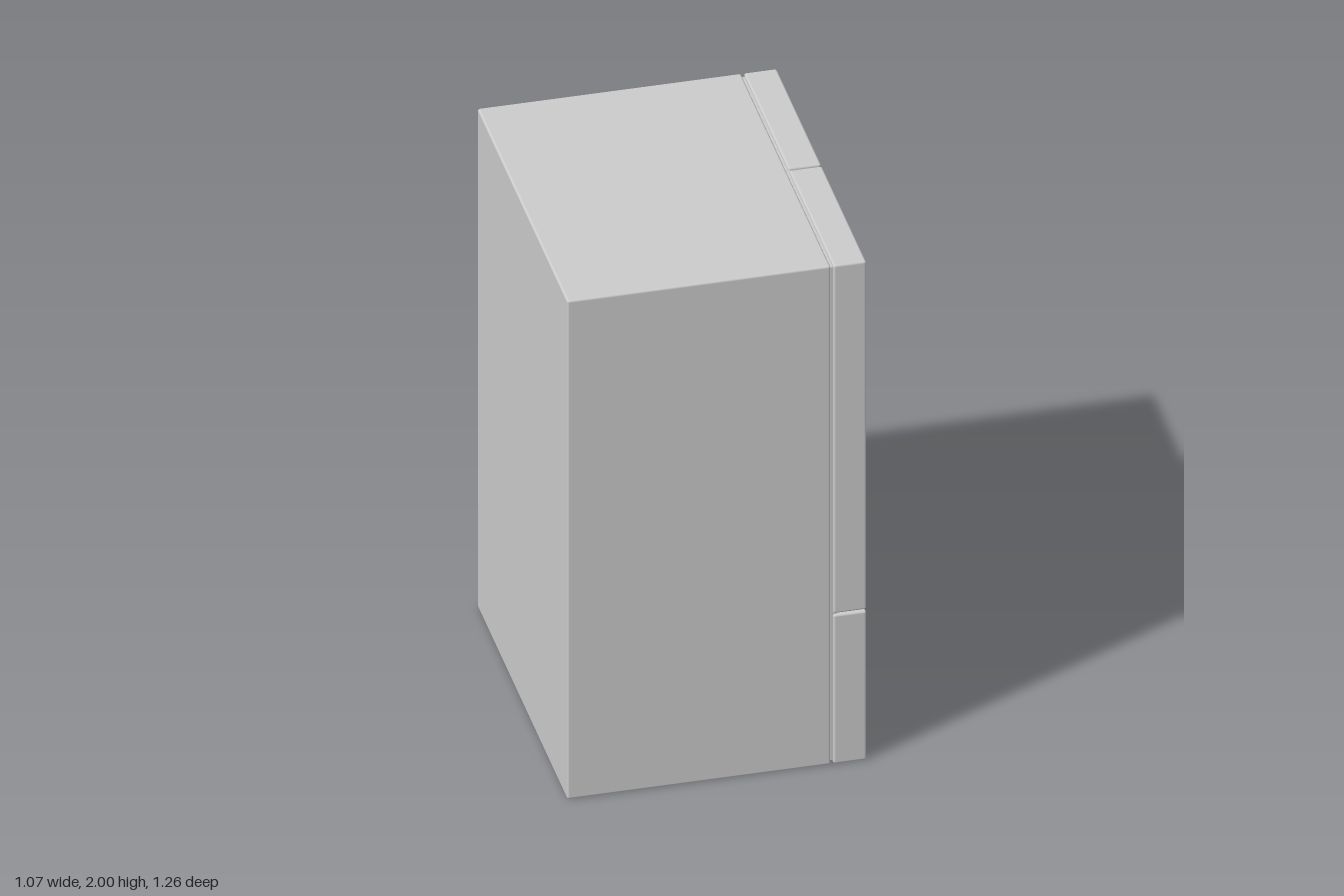
import * as THREE from 'three';
import { RoundedBoxGeometry } from 'three/addons/geometries/RoundedBoxGeometry.js';

const X = new THREE.Vector3(1, 0, 0);
const Y = new THREE.Vector3(0, 1, 0);
const Z = new THREE.Vector3(0, 0, 1);

const FRONT = 0.51;   // face of the doors (they face +x)
const SEAM = 0.39;    // line between cabinet and doors
const HALF = 0.63;    // half width along z
const GAP = 0.005;    // half of each seam

export function createModel() {
  const model = new THREE.Group();
  const material = new THREE.MeshStandardMaterial({ color: 0xcccccc });

  const add = (name, geometry) => {
    const mesh = new THREE.Mesh(geometry, material);
    mesh.name = name;
    model.add(mesh);
    return mesh;
  };

  // Softly rounded box given by its limits on each axis
  const block = (name, [x0, x1], [y0, y1], [z0, z1], radius = 0.008) => {
    const geometry = new RoundedBoxGeometry(x1 - x0, y1 - y0, z1 - z0, 3, radius);
    geometry.translate((x0 + x1) / 2, (y0 + y1) / 2, (z0 + z1) / 2);
    return add(name, geometry);
  };

  // Flat bar handle with bent ends; profile runs along u and stands out along v
  const handleGeometry = (length, width) => {
    const h = length / 2, out = 0.026, t = 0.009, bend = 0.022;
    const s = new THREE.Shape();
    s.moveTo(-h, -0.004);
    s.lineTo(-h, out - bend);
    s.quadraticCurveTo(-h, out, -h + bend, out);
    s.lineTo(h - bend, out);
    s.quadraticCurveTo(h, out, h, out - bend);
    s.lineTo(h, -0.004);
    s.lineTo(h - t, -0.004);
    s.lineTo(h - t, out - bend);
    s.quadraticCurveTo(h - t, out - t, h - bend, out - t);
    s.lineTo(-h + bend, out - t);
    s.quadraticCurveTo(-h + t, out - t, -h + t, out - bend);
    s.lineTo(-h + t, -0.004);
    s.closePath();
    const geometry = new THREE.ExtrudeGeometry(s, { depth: width, bevelEnabled: false, curveSegments: 8 });
    return geometry.translate(0, 0, -width / 2);
  };

  // Cabinet and the recessed gasket behind the doors
  block('cabinet', [-0.535, SEAM - GAP], [0, 2], [-HALF, HALF]);
  block('gasket', [SEAM - 0.02, SEAM + 0.02], [0.01, 1.99], [-HALF + 0.01, HALF - 0.01], 0.002);

  // Freezer drawer below, two doors above
  const doorX = [SEAM + GAP, FRONT];
  block('freezerDrawer', doorX, [0, 0.6 - 0.003], [-HALF, HALF]);
  block('leftDoor', doorX, [0.6 + 0.003, 2], [-HALF, -GAP]);
  block('rightDoor', doorX, [0.6 + 0.003, 2], [GAP, HALF]);

  // Upright door handles either side of the centre seam
  const upright = new THREE.Matrix4().makeBasis(Y, X, Z.clone().negate());
  for (const side of [-1, 1]) {
    const handle = add('doorHandle', handleGeometry(0.885, 0.03).applyMatrix4(upright));
    handle.position.set(FRONT, 1.338, side * 0.082);
  }

  // Level handle on the drawer
  const level = new THREE.Matrix4().makeBasis(Z, X, Y);
  const drawerHandle = add('drawerHandle', handleGeometry(0.885, 0.03).applyMatrix4(level));
  drawerHandle.position.set(FRONT, 0.53, 0);

  return model;
}
